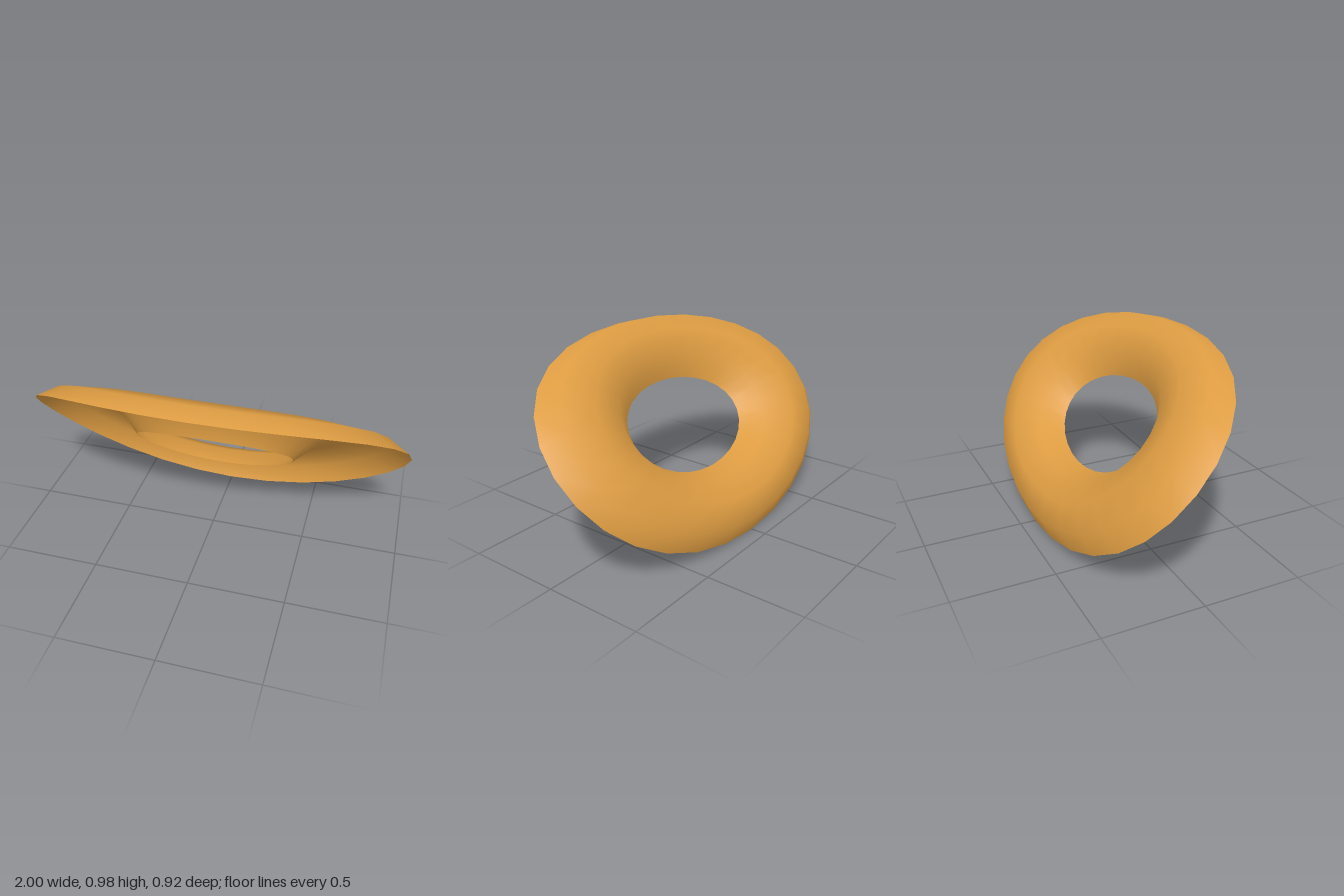
import * as THREE from 'three';

export function createModel() {
  const group = new THREE.Group();
  const amber = new THREE.MeshStandardMaterial({ color: 0xdd9c42, side: THREE.DoubleSide });
  amber.name = 'amber';

  // Shell cross-section from outer rim to hole rim: [radius, height]
  const profile = [[1, 0], [0.89, 0.068], [0.71, 0.085], [0.53, 0.012], [0.42, -0.094]];
  const sides = 28;

  // The oval ring is wrapped round a cylinder that runs along x
  const bendRadius = 1.677, centreY = -0.577, centreZ = 1.156;
  const apex = THREE.MathUtils.degToRad(137.2);
  const halfArc = THREE.MathUtils.degToRad(22.7);

  const positions = [], indices = [];
  for (const [r, h] of profile) {
    for (let i = 0; i < sides; i++) {
      const t = (i / sides) * Math.PI * 2;
      const a = apex - halfArc * r * Math.sin(t);
      const R = bendRadius + h;
      positions.push(r * Math.cos(t), centreY + R * Math.sin(a), centreZ + R * Math.cos(a));
    }
  }
  for (let j = 0; j < profile.length - 1; j++) {
    for (let i = 0; i < sides; i++) {
      const n = (i + 1) % sides;
      const a = j * sides + i, b = j * sides + n;
      const c = a + sides, d = b + sides;
      // Wound so the rounded side faces up and back
      indices.push(a, b, c, b, d, c);
    }
  }

  const geometry = new THREE.BufferGeometry();
  geometry.setAttribute('position', new THREE.Float32BufferAttribute(positions, 3));
  geometry.setIndex(indices);
  geometry.computeVertexNormals();

  const shell = new THREE.Mesh(geometry, amber);
  shell.name = 'curvedRingShell';
  group.add(shell);
  return group;
}
